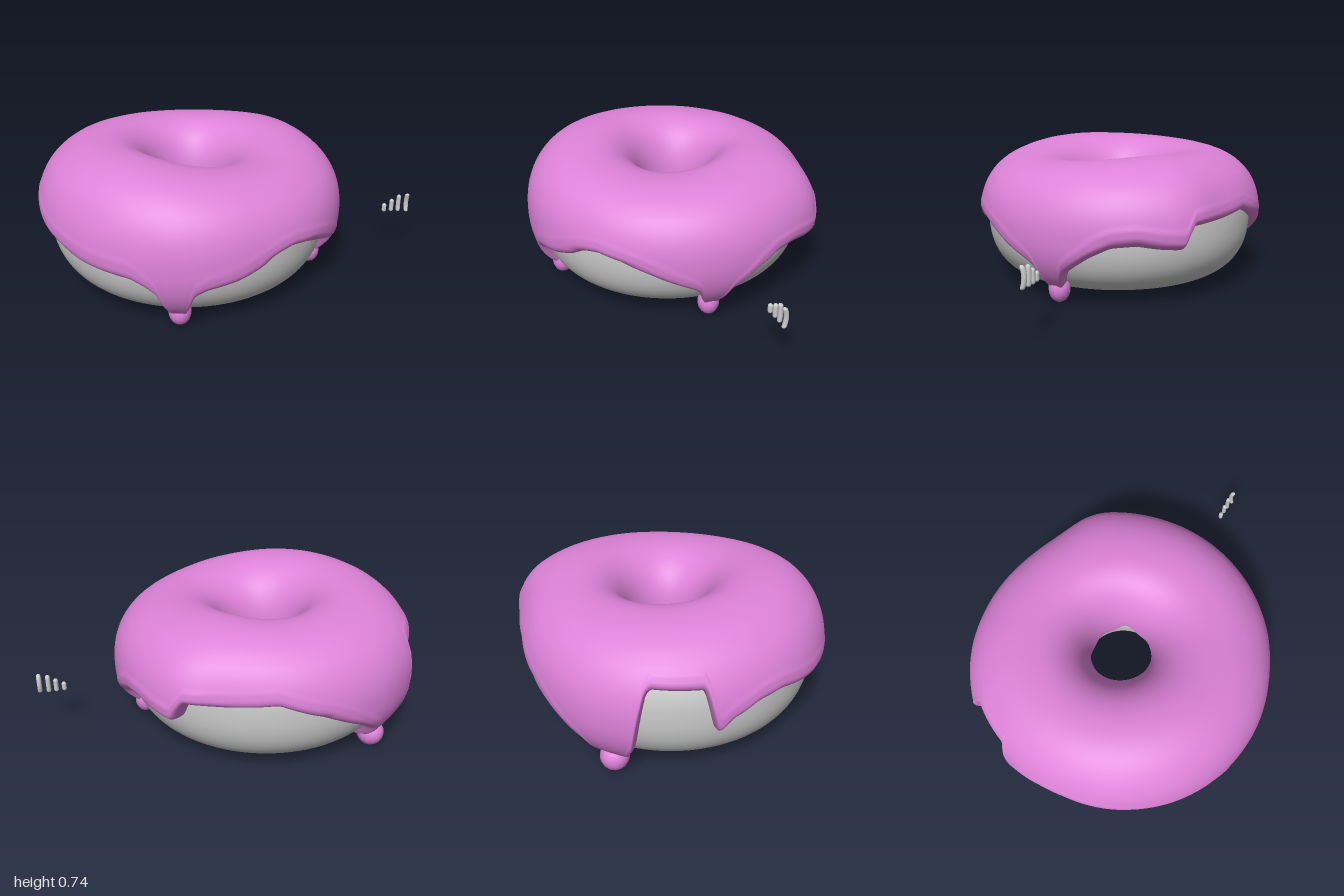
import * as THREE from 'three';

const CX = -0.2, RING = 0.44, MID = 0.36, DOUGH_POW = 0.85;

// Lower edge of the icing: [angle in degrees, height]
const EDGE = [
  [0, 0.2], [3, 0.17], [5, 0.07], [11, 0.07], [13, 0.18], [16, 0.21], [25, 0.26], [34, 0.31], [45, 0.36], [53, 0.385],
  [60, 0.37], [67, 0.32], [76, 0.28], [88, 0.25], [93, 0.21], [95, 0.07], [102, 0.07], [104, 0.21], [108, 0.26],
  [114, 0.3], [133, 0.32], [155, 0.37], [172, 0.42], [182, 0.41], [190, 0.36], [193, 0.33], [196, 0.29], [197.5, 0.32],
  [199, 0.51], [219, 0.52], [221, 0.44], [222, 0.22], [225, 0.15], [227, 0.07], [238, 0.07], [240, 0.17],
  [250, 0.25], [265, 0.35], [282, 0.44], [300, 0.42], [316, 0.41], [318, 0.3], [326, 0.31],
  [335, 0.33], [344, 0.32], [352, 0.27], [360, 0.2],
];

// Outer radius of the icing: [angle in degrees, radius]
const RADIUS = [
  [0, 0.795], [20, 0.78], [45, 0.765], [65, 0.755], [90, 0.77], [130, 0.785], [180, 0.8], [200, 0.81], [217, 0.825],
  [240, 0.815], [260, 0.79], [285, 0.765], [300, 0.77], [317, 0.84], [328, 0.825], [340, 0.81], [360, 0.795],
];

// Height of the icing's crest: [angle in degrees, height]
const CREST = [
  [0, 0.688], [40, 0.668], [80, 0.7], [125, 0.75], [160, 0.745], [200, 0.73], [270, 0.697], [320, 0.717], [360, 0.688],
];

function lookup(table, deg) {
  const d = (deg + 360) % 360;
  const k = Math.max(1, table.findIndex((p) => p[0] >= d));
  const [a, va] = table[k - 1], [b, vb] = table[k];
  return va + ((vb - va) * (d - a)) / (b - a);
}

// Table value averaged over a span of degrees
function smooth(table, deg, span) {
  let sum = 0;
  for (let i = -4; i <= 4; i++) sum += lookup(table, deg + (i / 4) * span);
  return sum / 9;
}

const spow = (v, e) => Math.sign(v) * Math.abs(v) ** e;

// Point [radius, height] on a rounded ring cross-section
function section(phi, s) {
  const c = spow(Math.cos(phi), s.pow), h = spow(Math.sin(phi), s.pow);
  return [RING + c * (c > 0 ? s.out : s.inn), MID + h * (h > 0 ? s.top : s.bot)];
}

// The dough bulges slightly towards the back right
const doughAt = (th) => ({ out: 0.286 + 0.016 * Math.cos(th - 3.8), inn: 0.26, top: 0.3, bot: 0.32, pow: DOUGH_POW });

// Sweeps a cross-section rule around the ring
function sweep(cols, rows, rule) {
  const pos = [], idx = [];
  for (let i = 0; i < cols; i++) {
    const th = (i / cols) * Math.PI * 2;
    for (let j = 0; j <= rows; j++) {
      const [r, y] = rule(th, j / rows);
      const shift = -0.03 * THREE.MathUtils.clamp(1 - (r - 0.16) / 0.35, 0, 1);
      pos.push(CX + r * Math.cos(th), y, r * Math.sin(th) + shift);
      if (j === rows) continue;
      const a = i * (rows + 1) + j, b = ((i + 1) % cols) * (rows + 1) + j;
      idx.push(a, b, a + 1, b, b + 1, a + 1);
    }
  }
  const g = new THREE.BufferGeometry();
  g.setAttribute('position', new THREE.Float32BufferAttribute(pos, 3));
  g.setIndex(idx);
  g.computeVertexNormals();
  return g;
}

// Icing: a thick skin over the dough, with rounded rims and a wavy lower edge
function icingRule(th, t) {
  const deg = THREE.MathUtils.radToDeg(th);
  const dough = doughAt(th);
  const skin = {
    out: smooth(RADIUS, deg, 6) - RING,
    inn: 0.28,
    top: smooth(CREST, deg, 20) - MID,
    bot: 0.345,
    pow: 0.9,
  };
  const drop = (smooth(EDGE, deg, 1.6) - MID) / dough.bot;
  const end = Math.asin(spow(drop, 1 / DOUGH_POW));
  const start = Math.PI + 0.12 + 0.08 * Math.sin(3 * th) + 0.06 * Math.sin(7 * th + 1);
  // rows crowd towards both rims and stay level over the crest
  const crest = Math.PI / 4, q = Math.abs(2 * t - 1);
  const ease = 1 - (1 - q) ** 1.7;
  const phi = crest + ((t < 0.5 ? start : end) - crest) * ease;
  const d = Math.min(start - phi, phi - end) / 0.14;
  let w = d >= 1 ? 1 + 0.04 * Math.max(0, 1 - Math.abs(d - 1.5) * 2) : Math.sqrt(1 - (1 - d) ** 2);
  if (t === 0 || t === 1) w = -0.2;
  const a = section(phi, dough), b = section(phi, skin);
  return [a[0] + (b[0] - a[0]) * w, a[1] + (b[1] - a[1]) * w];
}

export function createModel() {
  const group = new THREE.Group();
  const grey = new THREE.MeshStandardMaterial({ color: 0xcccccc });
  const pink = new THREE.MeshStandardMaterial({ color: 0xdd82d8, side: THREE.DoubleSide });
  const add = (name, geo, mat) => {
    const m = new THREE.Mesh(geo, mat);
    m.name = name;
    group.add(m);
    return m;
  };

  add('dough', sweep(96, 64, (th, t) => section(Math.PI - t * Math.PI * 2, doughAt(th))), grey);
  add('icing', sweep(480, 72, icingRule), pink);

  // Beads at the ends of the three drips: angle, distance, radius
  for (const [deg, r, size] of [[8, 0.64, 0.056], [98.5, 0.62, 0.056], [232.5, 0.69, 0.07]]) {
    const th = THREE.MathUtils.degToRad(deg);
    const bead = add('dripBead', new THREE.SphereGeometry(size, 14, 10), pink);
    bead.position.set(CX + r * Math.cos(th), 0.075, r * Math.sin(th));
    bead.scale.y = 0.07 / size;
  }

  // Row of sprinkles of growing length beside the ring, the longest one bent
  const sprinkles = [[0.865, 0.05, 0], [0.905, 0.075, 0], [0.943, 0.1, 0.003], [0.987, 0.108, 0.012]];
  for (const [x, len, bend] of sprinkles) {
    const R = 0.012;
    const g = new THREE.CapsuleGeometry(R, len - 2 * R, 5, 12, 8);
    const p = g.attributes.position;
    for (let i = 0; i < p.count; i++) {
      p.setZ(i, p.getZ(i) + bend * ((2 * p.getY(i)) / len) ** 2);
    }
    g.computeVertexNormals();
    add('sprinkle', g, grey).position.set(x, 0.247 + len / 2, 0.013);
  }
  return group;
}
